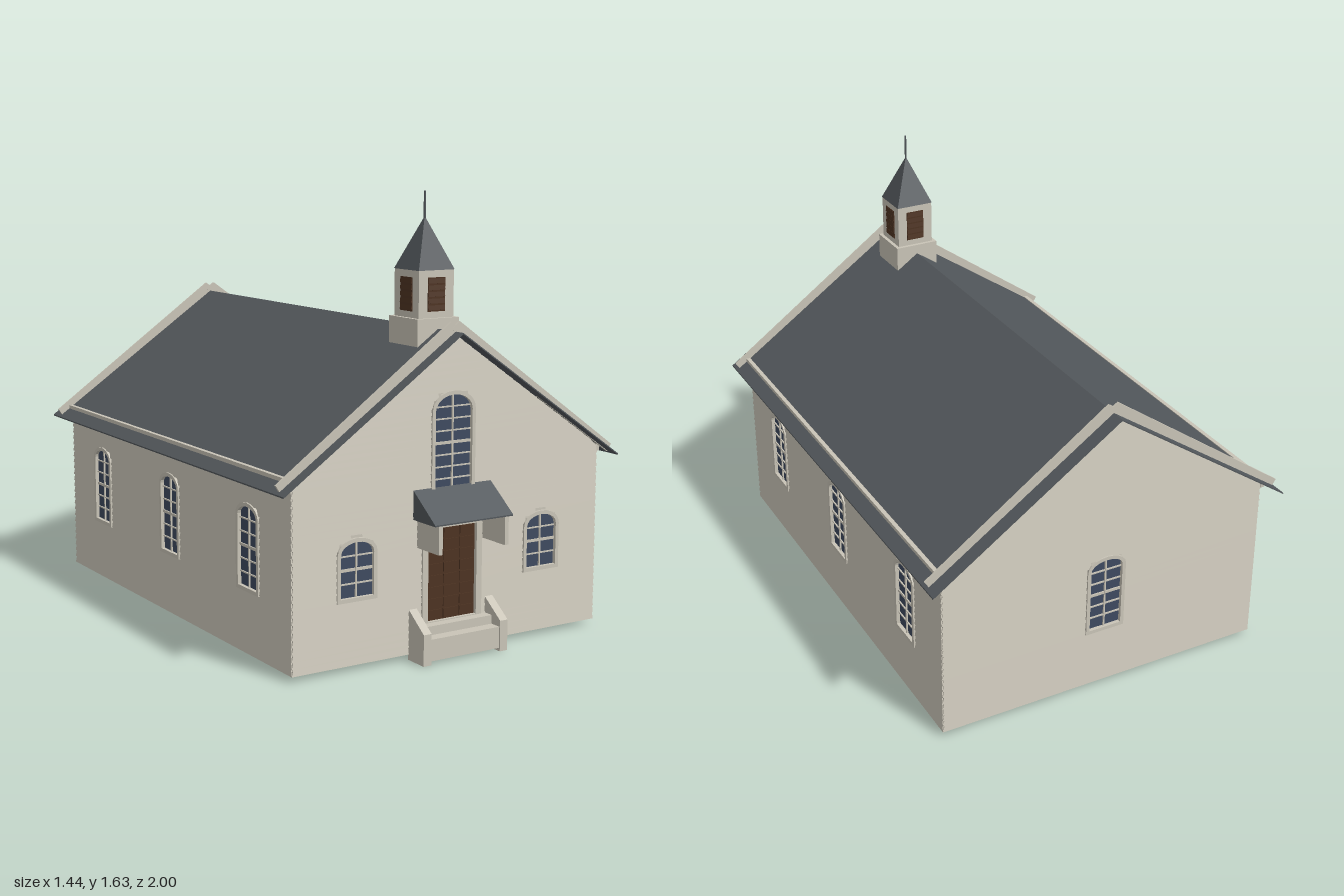
import * as THREE from 'three';

const mat = (name, color) => {
  const m = new THREE.MeshStandardMaterial({ color });
  m.name = name;
  return m;
};

export function createModel() {
  const cream = mat('cream paint', 0xc9c4b7);
  const slate = mat('slate roof', 0x53585c);
  const glass = mat('window glass', 0x3e4a60);
  const wood = mat('brown wood', 0x4d3322);

  const model = new THREE.Group();
  model.name = 'chapel';

  const add = (parent, name, geo, material, x = 0, y = 0, z = 0) => {
    const mesh = new THREE.Mesh(geo, material);
    mesh.name = name;
    mesh.position.set(x, y, z);
    parent.add(mesh);
    return mesh;
  };
  // box given by its limits
  const box = (parent, name, material, x0, x1, y0, y1, z0, z1) =>
    add(parent, name, new THREE.BoxGeometry(x1 - x0, y1 - y0, z1 - z0), material,
      (x0 + x1) / 2, (y0 + y1) / 2, (z0 + z1) / 2);
  const extrude = (shape, depth, z = 0) =>
    new THREE.ExtrudeGeometry(shape, { depth, bevelEnabled: false, curveSegments: 10 }).translate(0, 0, z);
  const polygon = pts => new THREE.Shape(pts.map(p => new THREE.Vector2(p[0], p[1])));
  // side profile in (z, y), extruded across x
  const prism = (pts, width) => extrude(polygon(pts), width, -width / 2).rotateY(-Math.PI / 2);

  // outline of an opening, enlarged by d; a flat arch when top > spring
  const outline = (o, d = 0) => {
    const pts = [[o.x - o.w - d, o.bottom - d], [o.x + o.w + d, o.bottom - d]];
    const n = o.top > o.spring ? 10 : 1;
    for (let i = 0; i <= n; i++) {
      const a = Math.PI * i / n;
      const rise = n > 1 ? (o.top - o.spring + d) * Math.sin(a) : d;
      pts.push([o.x + (o.w + d) * Math.cos(a), o.spring + rise]);
    }
    return polygon(pts);
  };
  const halfWidthAt = (o, y) => {
    if (y <= o.spring || o.top === o.spring) return o.w;
    const t = Math.min(1, (y - o.spring) / (o.top - o.spring));
    return o.w * Math.sqrt(1 - t * t);
  };

  // glazed window or panelled door, filling an opening
  function fill(parent, o) {
    const g = new THREE.Group();
    g.name = o.door ? 'door' : 'window';
    parent.add(g);
    const frame = outline(o, o.door ? 0.024 : 0.014);
    frame.holes.push(outline(o));
    add(g, 'casing', extrude(frame, 0.024, -0.02), cream);
    add(g, o.door ? 'doorLeaf' : 'pane', extrude(outline(o), 0.004, -0.014), o.door ? wood : glass);
    if (o.door) {
      const rows = 8, step = (o.top - o.bottom) / rows;
      for (let r = 0; r < rows; r++) for (let c = -1; c <= 1; c++) {
        const y = o.bottom + r * step;
        box(g, 'doorPanel', wood, c * 0.07 - 0.031, c * 0.07 + 0.031, y + 0.004, y + step - 0.004, -0.011, -0.006);
      }
      return;
    }
    box(g, 'mullion', cream, o.x - 0.003, o.x + 0.003, o.bottom, o.top, -0.011, -0.004);
    const n = Math.round((o.top - o.bottom) / 0.045), rail = Math.floor(n / 2);
    for (let i = 1; i < n; i++) {
      const y = o.bottom + (o.top - o.bottom) * i / n, t = i === rail ? 0.005 : 0.0025;
      const w = halfWidthAt(o, y);
      box(g, 'glazingBar', cream, o.x - w, o.x + w, y - t, y + t, -0.011, -0.005);
    }
  }

  // clapboards: sloping faces with a small ledge, broken around openings
  function siding(half, top, peak, openings) {
    const h = 0.0255, out = 0, back = -0.0055, pos = [];
    const quad = (a, b, c, d) => pos.push(...a, ...b, ...c, ...a, ...c, ...d);
    const edge = y => peak ? Math.max(0, Math.min(half, (peak - y) / 0.6875)) : half;
    for (let y = 0.02; y < (peak || top) - 0.005; y += h) {
      const y1 = Math.min(y + h, peak || top);
      const cuts = openings.filter(o => y1 > o.bottom && y < o.top).sort((a, b) => a.x - b.x);
      const stops = [[-edge(y), -edge(y1)]];
      for (const o of cuts) {
        const w = halfWidthAt(o, y) + 0.005;
        stops.push([o.x - w, o.x - w], [o.x + w, o.x + w]);
      }
      stops.push([edge(y), edge(y1)]);
      for (let i = 0; i < stops.length; i += 2) {
        const [l0, l1] = stops[i], [r0, r1] = stops[i + 1];
        quad([l0, y, out], [r0, y, out], [r1, y1, back], [l1, y1, back]);
        quad([l0, y, back], [r0, y, back], [r0, y, out], [l0, y, out]);
      }
    }
    const geo = new THREE.BufferGeometry();
    geo.setAttribute('position', new THREE.Float32BufferAttribute(pos, 3));
    geo.computeVertexNormals();
    return geo;
  }

  function wall(name, half, top, peak, openings, x, z, turn) {
    const g = new THREE.Group();
    g.name = name;
    g.position.set(x, 0, z);
    g.rotation.y = turn;
    model.add(g);
    const w = half - 0.006;
    const pts = [[-w, 0.02], [w, 0.02], [w, top]];
    if (peak) pts.push([0, peak]);
    pts.push([-w, top]);
    const shape = polygon(pts);
    openings.forEach(o => shape.holes.push(outline(o)));
    add(g, 'wallCore', extrude(shape, 0.014, -0.02), cream);
    add(g, 'clapboards', siding(half, top, peak, openings), cream);
    openings.forEach(o => fill(g, o));
  }

  const tall = x => ({ x, w: 0.065, bottom: 0.26, spring: 0.515, top: 0.55 });
  const low = x => ({ x, w: 0.067, bottom: 0.26, spring: 0.415, top: 0.455 });
  const upper = { x: 0, w: 0.079, bottom: 0.59, spring: 0.875, top: 0.93 };
  const door = { x: 0, w: 0.105, bottom: 0.125, spring: 0.46, top: 0.46, door: true };
  wall('frontWall', 0.66, 0.69, 1.143, [low(-0.4), low(0.4), upper, door], 0, 0.87, 0);
  wall('backWall', 0.66, 0.69, 1.143, [tall(0)], 0, -0.94, Math.PI);
  for (const s of [-1, 1])
    wall(s > 0 ? 'leftWall' : 'rightWall', 0.905, 0.69, 0, [tall(-0.605), tall(0), tall(0.605)],
      s * 0.66, -0.035, s * Math.PI / 2);

  // main roof, rake boards and eave strips
  const roof = polygon([[0, 1.15], [-0.72, 0.655], [-0.72, 0.65], [0, 1.145], [0.72, 0.65], [0.72, 0.655]]);
  add(model, 'roof', extrude(roof, 1.92, -1), slate);
  for (const s of [-1, 1]) {
    const rake = polygon([[-0.018 * s, 1.16], [0.705 * s, 0.658], [0.722 * s, 0.685], [0.018 * s, 1.185]]);
    for (const z of [0.866, -0.946]) add(model, 'rakeBoard', extrude(rake, 0.01, z + s * 0.0005), cream);
    const x = s * 0.667;
    box(model, 'eaveStrip', cream, x - 0.008, x + 0.008, 0.662, 0.7, -0.94, 0.865);
  }

  // belfry with louvres, spire and finial
  const belfry = new THREE.Group();
  belfry.name = 'belfry';
  belfry.position.z = 0.683;
  model.add(belfry);
  box(belfry, 'belfryBase', cream, -0.089, 0.089, 1.09, 1.187, -0.089, 0.089);
  box(belfry, 'belfryTower', cream, -0.075, 0.075, 1.187, 1.356, -0.075, 0.075);
  for (let i = 0; i < 4; i++) {
    const side = new THREE.Group();
    side.name = 'louvre';
    side.rotation.y = i * Math.PI / 2;
    belfry.add(side);
    box(side, 'louvrePanel', wood, -0.037, 0.037, 1.21, 1.33, 0.073, 0.0765);
    for (let k = 0; k < 5; k++) {
      const slat = box(side, 'louvreSlat', wood, -0.035, 0.035, 1.215 + k * 0.0235, 1.232 + k * 0.0235, 0.076, 0.079);
      slat.rotation.x = -0.15;
    }
  }
  const spire = new THREE.ConeGeometry(0.077 * Math.SQRT2, 0.186, 4).toNonIndexed().rotateY(Math.PI / 4);
  spire.computeVertexNormals();
  add(belfry, 'spire', spire, slate, 0, 1.448, 0);
  add(belfry, 'finial', new THREE.CylinderGeometry(0.004, 0.004, 0.11, 8), slate, 0, 1.575, 0);

  // hood over the door
  add(model, 'doorHood', prism([[0.868, 0.502], [1, 0.502], [1, 0.507], [0.868, 0.606]], 0.335), slate);
  for (const s of [-1, 1]) {
    const x = s * 0.142;
    box(model, 'hoodBracket', cream, x - 0.008, x + 0.008, 0.4, 0.503, 0.866, 0.998);
  }

  // entrance steps between sloping cheek walls
  for (const s of [-1, 1])
    add(model, 'stepCheek', prism([[0.866, 0], [0.96, 0], [0.96, 0.113], [0.866, 0.183]], 0.033), cream, s * 0.166);
  box(model, 'lowerStep', cream, -0.15, 0.15, 0.012, 0.09, 0.866, 0.955);
  box(model, 'upperStep', cream, -0.15, 0.15, 0.09, 0.122, 0.866, 0.91);

  return model;
}
